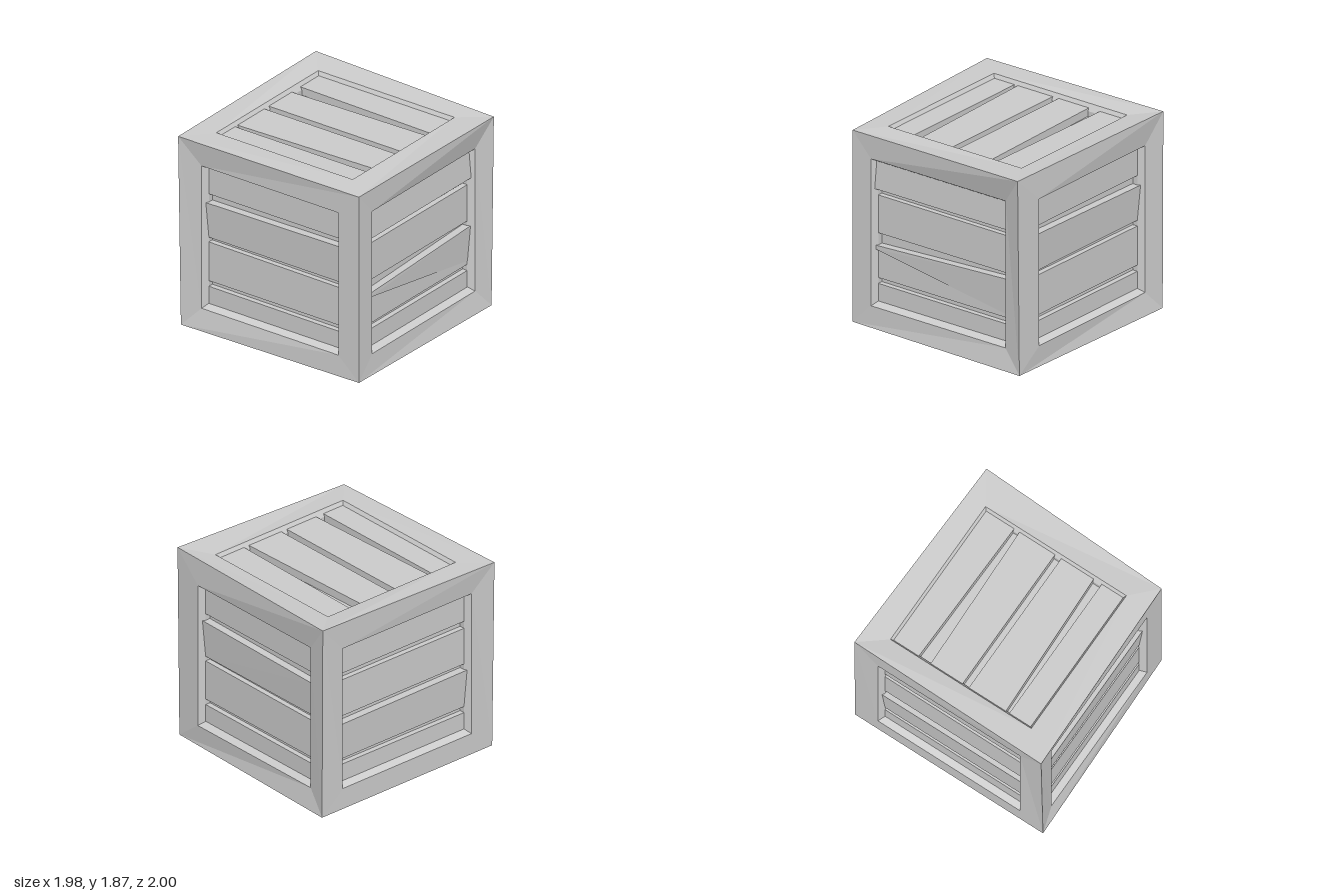
import * as THREE from 'three';

const WALL = 0.06;   // depth of the sloped rim inside each frame opening
const FLOOR = 0.11;  // depth of the grooves between boards
const INSET = 0.035; // how far the rim slopes inward

const v3 = (x, y, z) => new THREE.Vector3(x, y, z);

// Warped outer corners: front/back, left/right seen from the front
const T = { fl: v3(-0.95, 1.82, 0.94), fr: v3(0.93, 1.855, 1), br: v3(0.985, 1.865, -0.98), bl: v3(-0.99, 1.835, -1) };
const B = { fl: v3(-0.95, 0, 0.94), fr: v3(0.93, 0, 0.975), br: v3(0.985, 0, -0.97), bl: v3(-0.99, 0, -0.97) };

// Standard boards: [bottom at left, bottom at right, top at right, top at left, depth below, depth above]
const side = () => [
  [0.18, 0.18, 0.4, 0.405, WALL, WALL],
  [0.46, 0.46, 0.83, 0.84, WALL, WALL],
  [0.885, 0.885, 1.24, 1.245, WALL, WALL],
  [1.31, 1.31, 1.62, 1.62, WALL, WALL],
];
const vary = (index, board) => side().map((b, i) => (i === index ? board : b));

// Each face: its axes, plane offset, outer corners and opening (counter-clockwise from lower left)
const X = v3(1, 0, 0), Y = v3(0, 1, 0), Z = v3(0, 0, 1);
const neg = (v) => v.clone().negate();
const FACES = [
  { name: 'front', u: X, v: Y, n: Z, off: 0.935, outer: [B.fl, B.fr, T.fr, T.fl], open: [-0.75, 0.745, 0.203, 1.598],
    boards: side().map((b, i) => i === 1 ? [0.46, 0.46, 0.84, 0.77, WALL, WALL] : i === 3 ? [1.31, 1.31, 1.62, 1.62, 0.03, 0.05] : b) },
  { name: 'right', u: neg(Z), v: Y, n: X, off: 0.945, outer: [B.fr, B.br, T.br, T.fr], open: [-0.715, 0.775, 0.203, 1.598],
    boards: vary(2, [0.885, 0.885, 1.22, 1.245, WALL, 0.035]) },
  { name: 'back', u: neg(X), v: Y, n: neg(Z), off: 0.97, outer: [B.br, B.bl, T.bl, T.br], open: [-0.745, 0.75, 0.203, 1.598],
    boards: vary(1, [0.46, 0.46, 0.83, 0.82, WALL, 0.035]) },
  { name: 'left', u: Z, v: Y, n: neg(X), off: 0.95, outer: [B.bl, B.fl, T.fl, T.bl], open: [-0.775, 0.715, 0.203, 1.598],
    boards: vary(2, [0.885, 0.885, 1.245, 1.23, WALL, 0.035]) },
  { name: 'top', u: X, v: neg(Z), n: Y, off: 1.835, outer: [T.fl, T.fr, T.br, T.bl], open: [-0.735, 0.745, -0.71, 0.775] },
  { name: 'bottom', u: X, v: Z, n: neg(Y), off: -0.005, outer: [B.bl, B.br, B.fr, B.fl], open: [-0.735, 0.745, -0.775, 0.715] },
];

const material = new THREE.MeshStandardMaterial({ color: 0xcccccc, flatShading: true });

// Mesh from quads of corner vectors; each quad is split between its first and third corner
function quadMesh(name, quads) {
  const points = quads.flatMap(([a, b, c, d]) => [a, b, c, a, c, d]);
  const geometry = new THREE.BufferGeometry().setFromPoints(points);
  geometry.computeVertexNormals();
  const mesh = new THREE.Mesh(geometry, material);
  mesh.name = name;
  return mesh;
}

// Strips joining two loops of four corners
const strips = (outer, inner) => outer.map((p, i) => {
  const j = (i + 1) % 4;
  return [p, outer[j], inner[j], inner[i]];
});

// Board with four free front corners [u, v, depth], reaching back to the groove floor
function board(name, at, corners) {
  const front = corners.map(([u, v, d]) => at(u, v, d));
  const back = corners.map(([u, v]) => at(u, v, FLOOR));
  return quadMesh(name, [front, ...strips(back, front)]);
}

function buildFace({ name, u, v, n, off, outer, open, boards }) {
  const group = new THREE.Group();
  group.name = name + 'Side';
  const at = (a, b, d) => v3(0, 0, 0).addScaledVector(u, a).addScaledVector(v, b).addScaledVector(n, off - d);
  const [u0, u1, v0, v1] = open;
  const loop = (s, d) => [at(u0 + s, v0 + s, d), at(u1 - s, v0 + s, d), at(u1 - s, v1 - s, d), at(u0 + s, v1 - s, d)];
  const rim = loop(0, 0), inner = loop(INSET, WALL), floor = loop(INSET, FLOOR);

  // Frame and its sloped inner rim
  group.add(quadMesh(name + 'Frame', strips(outer, rim)));
  group.add(quadMesh(name + 'Rim', strips(rim, inner)));

  // Plain panel underneath, groove floor elsewhere
  if (name === 'bottom') {
    group.add(quadMesh('bottomPanel', [inner]));
    return group;
  }
  group.add(quadMesh(name + 'Backing', [floor, ...strips(inner, floor)]));

  // Horizontal boards on the walls
  const l = u0 + 0.005, r = u1 - 0.005;
  (boards || []).forEach(([bl, br, tr, tl, low, high], i) => {
    group.add(board(`${name}Board${i + 1}`, at, [[l, bl, low], [r, br, low], [r, tr, high], [l, tl, high]]));
  });

  // Loose, twisted board on the front
  if (name === 'front') {
    group.add(board('frontLooseBoard', at, [[l, 0.735, 0.04], [r, 0.488, 0.059], [r, 0.84, 0.035], [l, 0.77, 0.04]]));
  }

  // Lengthwise boards on the lid: [front left, front right, back right, back left]
  if (name === 'top') {
    const lid = [[-0.73, -0.49, -0.49, -0.73], [-0.405, -0.065, -0.065, -0.455], [0, 0.375, 0.335, 0], [0.43, 0.74, 0.74, 0.46]];
    lid.forEach(([fl, fr, br, bl], i) => {
      const f = v0 + 0.005, b = v1 - 0.005, d = 0.035;
      group.add(board(`topBoard${i + 1}`, at, [[fl, f, d], [fr, f, d], [br, b, d], [bl, b, d]]));
    });
  }
  return group;
}

export function createModel() {
  const crate = new THREE.Group();
  crate.name = 'crate';
  FACES.forEach((face) => crate.add(buildFace(face)));
  return crate;
}
